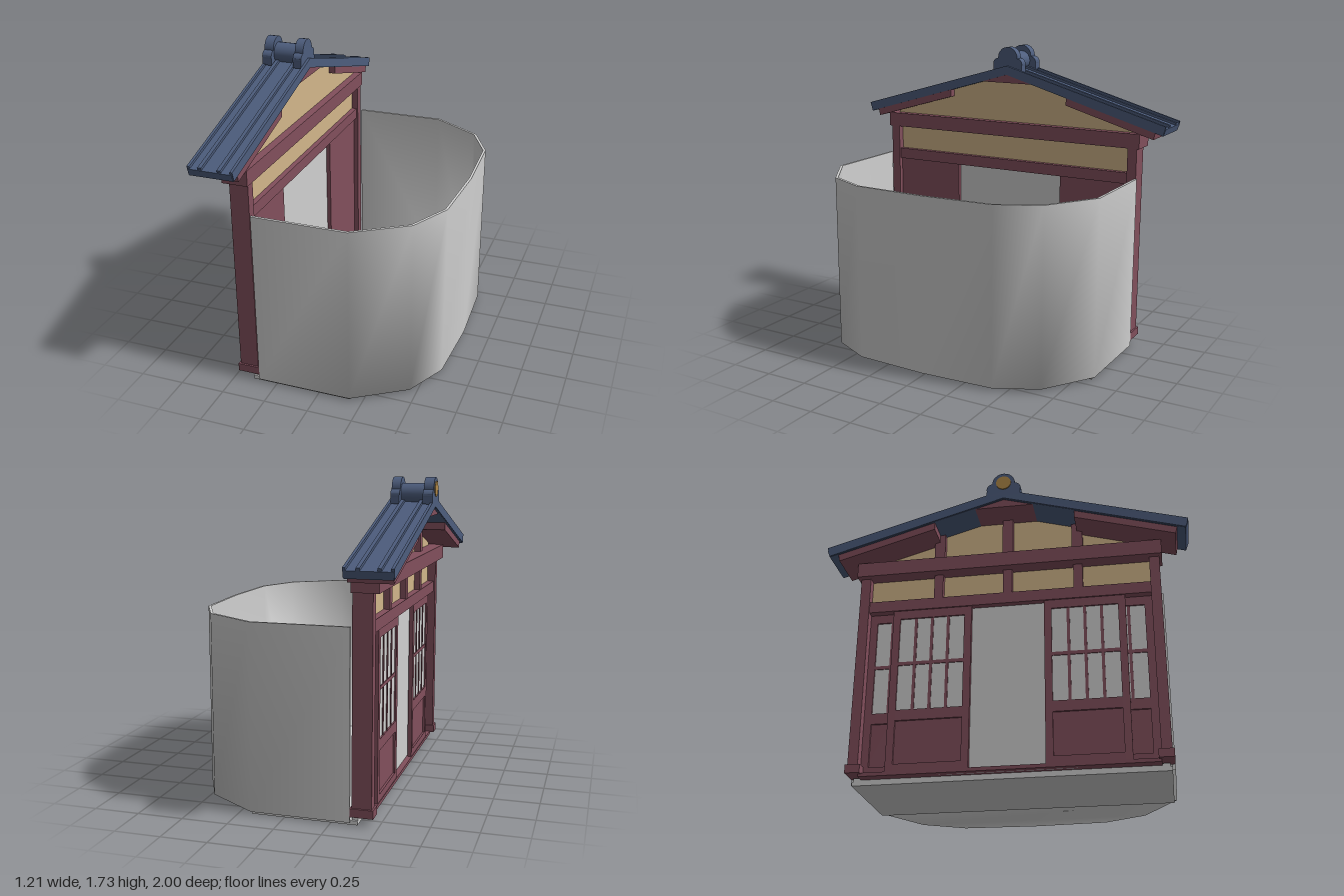
import * as THREE from 'three';

const mat = (name, color) => {
  const m = new THREE.MeshStandardMaterial({ color });
  m.name = name;
  return m;
};

export function createModel() {
  const model = new THREE.Group();
  const wood = mat('red wood', 0x824f5c);
  const tile = mat('blue tile', 0x4d5d7d);
  const plaster = mat('tan plaster', 0xd2b68a);
  const grey = mat('grey', 0xd0d0d0);
  const gold = mat('gold', 0xb08848);
  const shellMat = mat('grey shell', 0xd0d0d0);
  shellMat.side = THREE.DoubleSide;

  const add = (name, geo, m, parent = model) => {
    const mesh = new THREE.Mesh(geo, m);
    mesh.name = name;
    parent.add(mesh);
    return mesh;
  };
  // box given by its lower and upper limits
  const box = (name, m, x0, x1, y0, y1, z0, z1) => {
    const g = new THREE.BoxGeometry(x1 - x0, y1 - y0, Math.abs(z1 - z0));
    g.translate((x0 + x1) / 2, (y0 + y1) / 2, (z0 + z1) / 2);
    return add(name, g, m);
  };
  // outline of [z, y] points, extruded along x
  const slab = (name, m, x0, x1, pts) => {
    const shape = new THREE.Shape(pts.map(([z, y]) => new THREE.Vector2(z, y)));
    const g = new THREE.ExtrudeGeometry(shape, { depth: x1 - x0, bevelEnabled: false });
    g.rotateY(-Math.PI / 2).translate(x1, 0, 0);
    return add(name, g, m);
  };

  // smooth rounded enclosure: outer and inner skins joined by a rim
  const outline = (half) => [...half, ...half.slice(0, -1).reverse().map(([x, z]) => [x, -z])];
  const outer = outline([[-0.35, 0.845], [0.18, 0.845], [0.465, 0.66], [0.58, 0.425], [0.6, 0]]);
  const inner = outline([[-0.35, 0.83], [0.176, 0.83], [0.453, 0.65], [0.566, 0.42], [0.586, 0]]);
  const meshFrom = (pos, idx) => {
    const g = new THREE.BufferGeometry();
    g.setAttribute('position', new THREE.Float32BufferAttribute(pos, 3));
    g.setIndex(idx);
    g.computeVertexNormals();
    return g;
  };
  const strip = (ringA, ringB) => {
    const n = ringA.length, idx = [];
    for (let i = 0; i < n - 1; i++) idx.push(i, i + 1, n + i + 1, i, n + i + 1, n + i);
    return [[...ringA, ...ringB].flat(), idx];
  };
  const at = (ring, y) => ring.map(([x, z]) => [x, y, z]);
  const skin = (ring, y0, flip) => {
    const [pos, idx] = strip(at(ring, y0), at(ring, 1.02));
    for (let i = 1; i < 4; i++) {
      idx.push(i, 8 - i, 7 - i);
      if (i < 3) idx.push(i, 7 - i, i + 1);
    }
    return meshFrom(pos, flip ? idx.reverse() : idx);
  };
  add('outerShell', skin(outer, 0.015, false), shellMat);
  add('innerShell', skin(inner, 0.02, true), shellMat);
  add('shellRim', meshFrom(...strip(at(outer, 1.02), at(inner, 1.02))), shellMat);
  for (const s of [1, -1]) box('shellEnd', grey, -0.352, -0.349, 0.015, 1.02, s * 0.83, s * 0.845);

  // floor and step
  box('floor', grey, -0.39, 0.18, 0, 0.022, -0.83, 0.83);
  box('step', grey, -0.39, -0.36, 0.01, 0.04, -0.82, 0.82);

  // posts and beams
  for (const s of [1, -1]) {
    box('post', wood, -0.465, -0.36, 0.045, 1.2, s * 0.78, s * 0.835);
    box('postFoot', wood, -0.475, -0.35, 0.045, 0.09, s * 0.765, s * 0.845);
  }
  box('tieBeam', wood, -0.5, -0.355, 1.19, 1.275, -0.85, 0.85);
  box('doorLintel', wood, -0.455, -0.37, 0.98, 1.045, -0.78, 0.78);
  box('doorSill', wood, -0.45, -0.38, 0.03, 0.05, -0.78, 0.78);

  // plaster fields with outer dividers
  box('transomPanel', plaster, -0.415, -0.4, 1.04, 1.2, -0.78, 0.78);
  slab('gablePanel', plaster, -0.415, -0.4,
    [[-0.8, 1.27], [0.8, 1.27], [0.8, 1.335], [0, 1.565], [-0.8, 1.335]]);
  for (const z of [-0.39, 0, 0.39]) {
    box('transomDivider', wood, -0.45, -0.414, 1.04, 1.2, z - 0.025, z + 0.025);
    box('gableDivider', wood, -0.45, -0.414, 1.27, z ? 1.45 : 1.55, z - 0.03, z + 0.03);
  }

  // sliding doors: an outer and an inner leaf on each side
  const door = (x, z0, z1) => {
    const w = 0.04, xo = x - 0.012;
    box('doorLeaf', wood, x, x + 0.012, 0.03, 0.98, z0, z1);
    box('doorPane', grey, x - 0.003, x, 0.38, 0.94, z0 + w, z1 - w);
    for (const [a, b] of [[z0, z0 + w], [z1 - w, z1]]) box('doorStile', wood, xo, x, 0.03, 0.98, a, b);
    for (const [a, b] of [[0.03, 0.09], [0.33, 0.39], [0.93, 0.98]])
      box('doorRail', wood, xo, x, a, b, z0 + w, z1 - w);
    box('doorBar', wood, xo + 0.004, x, 0.65, 0.67, z0 + w, z1 - w);
    for (let i = 1; i < 4; i++) {
      const z = z0 + w + (z1 - z0 - 2 * w) * i / 4;
      box('doorBar', wood, xo + 0.004, x, 0.39, 0.93, z - 0.008, z + 0.008);
    }
  };
  for (const s of [1, -1]) {
    const span = (a, b) => (s > 0 ? [a, b] : [-b, -a]);
    door(-0.435, ...span(0.2, 0.64));
    door(-0.4, ...span(0.35, 0.78));
  }
  box('middlePanel', grey, -0.418, -0.412, 0.03, 0.98, -0.36, 0.36);

  // roof: a bent slab with raised ribs
  const chevron = (y0, y1) => [[-0.985, y0 - 0.285], [0, y0], [0.985, y0 - 0.285],
    [1, y1 - 0.285], [0, y1], [-1, y1 - 0.285]];
  slab('roof', tile, -0.6, -0.36, chevron(1.56, 1.6));
  for (const [a, b] of [[-0.605, -0.59], [-0.545, -0.525], [-0.44, -0.42], [-0.37, -0.355]])
    slab('roofRib', tile, a, b, chevron(1.562, 1.615));

  // boards under the eaves and ridge
  for (const s of [1, -1])
    slab('eaveBoard', wood, -0.59, -0.36,
      [[0.93, 1.25], [0.94, 1.295], [0.39, 1.452], [0.39, 1.405]].map(([z, y]) => [s * z, y]));
  slab('ridgeBoard', wood, -0.59, -0.36, [[-0.17, 1.513], [0.17, 1.513], [0, 1.562]]);

  // ridge ornament
  const rod = (name, m, r, x0, x1, y, z) => {
    const g = new THREE.CylinderGeometry(r, r, x1 - x0, 20);
    g.rotateZ(Math.PI / 2).translate((x0 + x1) / 2, y, z);
    add(name, g, m);
  };
  rod('ridgeRoll', tile, 0.058, -0.56, -0.41, 1.633, 0);
  for (const [a, b] of [[-0.605, -0.55], [-0.42, -0.37]]) {
    rod('ridgeDisc', tile, 0.064, a, b, 1.661, 0);
    for (const s of [1, -1]) rod('ridgeLobe', tile, 0.034, a, b, 1.625, s * 0.062);
    box('ridgeBase', tile, a, b, 1.58, 1.635, -0.095, 0.095);
  }
  rod('ridgeMedallion', gold, 0.042, -0.61, -0.604, 1.661, 0);

  return model;
}
